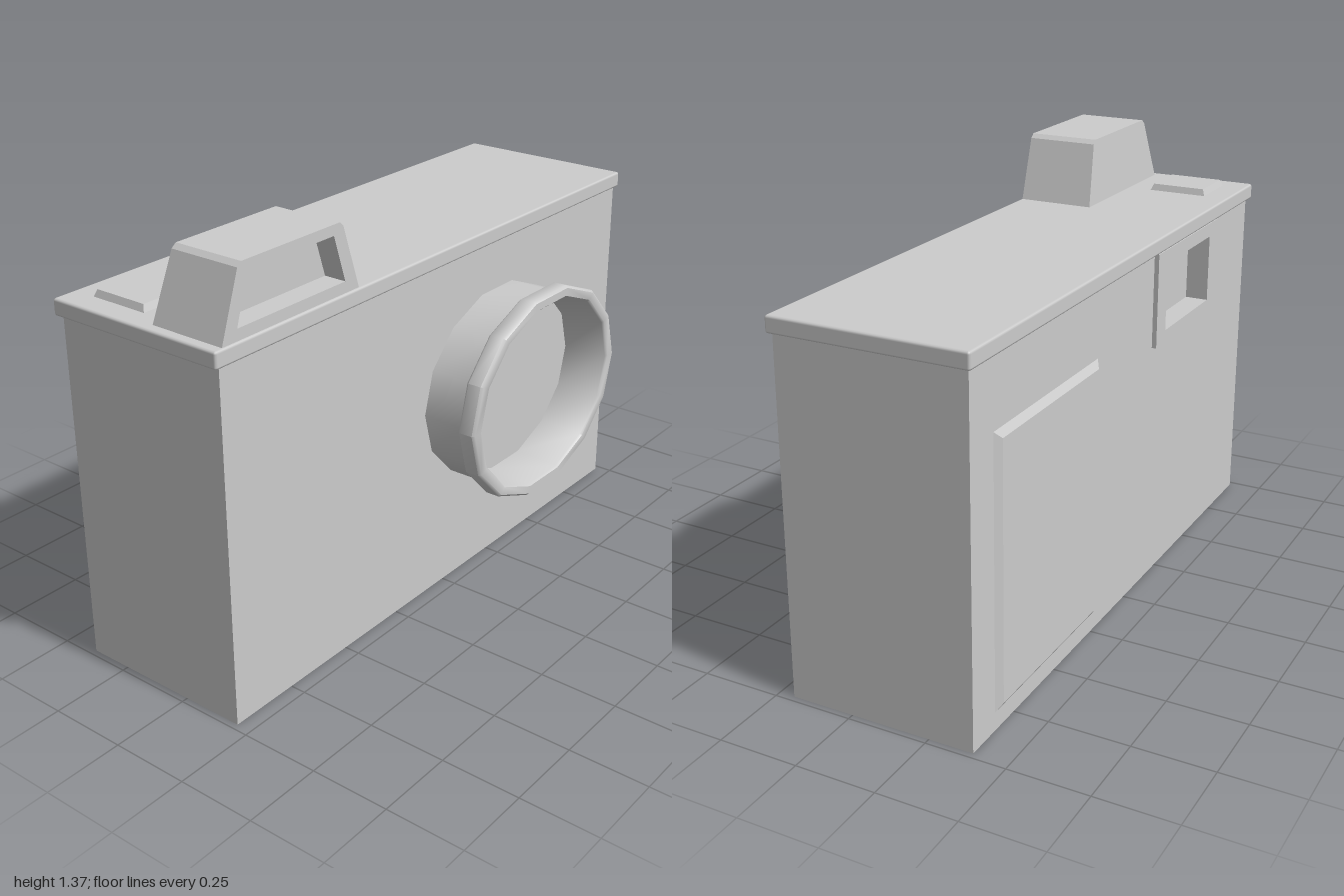
import * as THREE from 'three';
import { toCreasedNormals } from 'three/addons/utils/BufferGeometryUtils.js';
import { RoundedBoxGeometry } from 'three/addons/geometries/RoundedBoxGeometry.js';

const material = new THREE.MeshStandardMaterial({ color: 0xcccccc });

// Closed outline from corner points, with optional holes
function outline(points, ...holes) {
  const toVectors = (list) => list.map(([x, y]) => new THREE.Vector2(x, y));
  const shape = new THREE.Shape(toVectors(points));
  for (const hole of holes) shape.holes.push(new THREE.Path(toVectors(hole)));
  return shape;
}

const rect = (x0, y0, x1, y1) => [[x0, y0], [x1, y0], [x1, y1], [x0, y1]];

// Slab of an outline between two z values
function slab(shape, z0, z1) {
  return new THREE.ExtrudeGeometry(shape, { depth: z1 - z0, bevelEnabled: false }).translate(0, 0, z0);
}

// Box whose top is narrowed by an inset on every side
function raisedPad(width, height, depth, inset) {
  const geometry = new THREE.BoxGeometry(width, height, depth).translate(0, height / 2, 0);
  const p = geometry.attributes.position;
  for (let i = 0; i < p.count; i++) {
    if (p.getY(i) < height / 2) continue;
    p.setX(i, p.getX(i) * (1 - 2 * inset / width));
    p.setZ(i, p.getZ(i) * (1 - 2 * inset / depth));
  }
  geometry.computeVertexNormals();
  return geometry;
}

export function createModel() {
  const model = new THREE.Group();
  model.name = 'camera';
  const add = (name, geometry, parent = model) => {
    const mesh = new THREE.Mesh(geometry, material);
    mesh.name = name;
    parent.add(mesh);
    return mesh;
  };

  // Body, with a back wall cut through for the eyepiece
  const eyeHole = rect(-0.6, 0.84, -0.24, 1.06);
  const body = new THREE.Group();
  body.name = 'body';
  model.add(body);
  add('bodyCore', new THREE.BoxGeometry(1.96, 1.11, 0.53).translate(0, 0.555, -0.065), body);
  add('bodyBackWall', slab(outline(rect(-0.98, 0, 0.98, 1.11), eyeHole), -0.39, -0.33), body);

  // Top plate
  add('topPlate', new RoundedBoxGeometry(2, 0.052, 0.615, 1, 0.008).translate(0, 1.13, -0.0975));

  // Eyepiece frame and film door on the back
  add('eyepieceFrame', slab(outline(rect(-0.67, 0.8, -0.17, 1.105), eyeHole), -0.405, -0.385));
  const door = add('filmDoor', raisedPad(0.64, 0.02, 0.85, 0.03));
  door.rotation.x = -Math.PI / 2;
  door.position.set(0.545, 0.475, -0.385);

  // Flash housing: trapezoid with clipped top corners and a recessed window
  const housing = [[-0.97, 1.15], [-0.42, 1.15], [-0.485, 1.352], [-0.5, 1.365], [-0.885, 1.365], [-0.9, 1.352]];
  const windowHole = [[-0.91, 1.19], [-0.48, 1.19], [-0.525, 1.333], [-0.865, 1.333]];
  const flash = new THREE.Group();
  flash.name = 'flash';
  model.add(flash);
  add('flashFrame', slab(outline(housing, windowHole), 0.13, 0.203), flash);
  const back = slab(outline(housing), -0.047, 0.13);
  const p = back.attributes.position;
  for (let i = 0; i < p.count; i++) {
    if (p.getZ(i) < 0) p.setZ(i, -0.047 + (p.getY(i) - 1.15) * 0.09);
  }
  back.computeVertexNormals();
  add('flashHousing', back, flash);

  // Shutter button
  add('shutterButton', raisedPad(0.18, 0.025, 0.2, 0.01)).position.set(-0.835, 1.152, -0.225);

  // Lens: fourteen-sided oval barrel, front ring and hollow bowl
  const profile = [
    [0.378, 0.19], [0.378, 0.345], [0.402, 0.345], [0.41, 0.353], [0.41, 0.397],
    [0.402, 0.405], [0.372, 0.405], [0.365, 0.398], [0.355, 0.25], [0, 0.25],
  ].map(([r, z]) => new THREE.Vector2(r, z));
  const lens = new THREE.LatheGeometry(profile, 14, Math.PI / 2);
  lens.rotateX(Math.PI / 2).scale(1, 0.838, 1);
  add('lens', toCreasedNormals(lens, 0.85)).position.set(0.275, 0.635, 0);

  return model;
}
